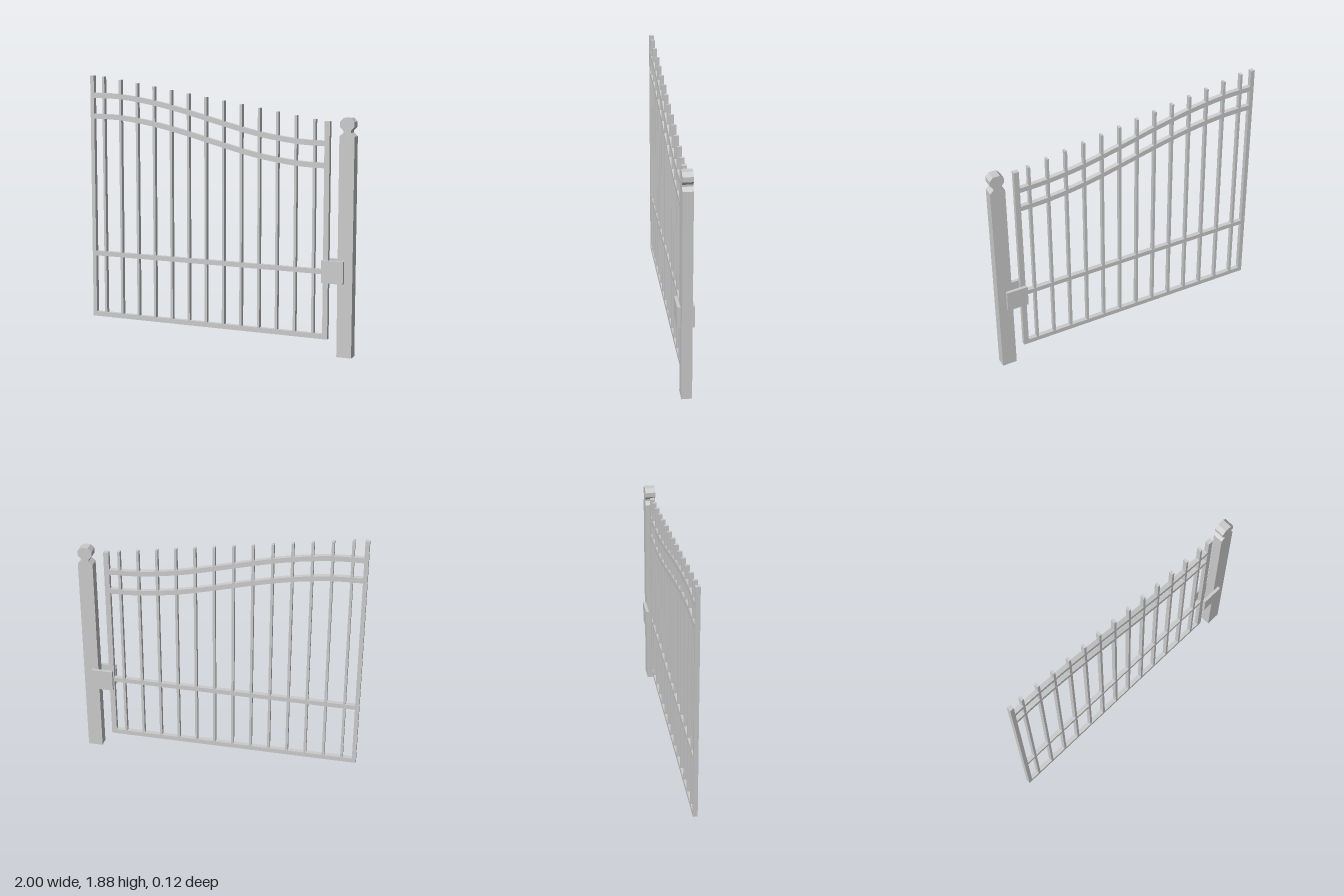
import * as THREE from 'three';

const material = new THREE.MeshStandardMaterial({ color: 0xcccccc, flatShading: true });

// Box given by its x, y and z limits
function bar(name, x0, x1, y0, y1, z0, z1) {
  const mesh = new THREE.Mesh(new THREE.BoxGeometry(x1 - x0, y1 - y0, z1 - z0), material);
  mesh.position.set((x0 + x1) / 2, (y0 + y1) / 2, (z0 + z1) / 2);
  mesh.name = name;
  return mesh;
}

// Outline in x and y, extruded evenly about z = 0
function slab(name, points, depth) {
  const shape = new THREE.Shape(points.map(([x, y]) => new THREE.Vector2(x, y)));
  const geometry = new THREE.ExtrudeGeometry(shape, { depth, bevelEnabled: false });
  geometry.translate(0, 0, -depth / 2);
  const mesh = new THREE.Mesh(geometry, material);
  mesh.name = name;
  return mesh;
}

export function createModel() {
  const model = new THREE.Group();
  model.name = 'gate';
  const half = 0.016;

  // Gate frame
  model.add(
    bar('tallStile', -1, -0.971, 0.11, 1.88, -half, half),
    bar('shortStile', 0.783, 0.82, 0.11, 1.61, -half, half),
    bar('bottomRail', -0.971, 0.783, 0.11, 0.144, -half, half),
    bar('middleRail', -0.971, 0.783, 0.565, 0.598, -half, half)
  );

  // Pickets, their tops falling in a straight line
  const pickets = new THREE.Group();
  pickets.name = 'pickets';
  for (let i = 0; i < 13; i++) {
    const x = -0.895 + i * 0.1338;
    const top = 1.874 - i * 0.021;
    pickets.add(bar('picket', x - 0.009, x + 0.009, 0.144, top, -0.0155, 0.0155));
  }
  model.add(pickets);

  // Two parallel S-curved rails
  const sweep = new THREE.SplineCurve([
    [-0.971, 1.738], [-0.757, 1.732], [-0.494, 1.696], [-0.227, 1.637], [0.04, 1.568],
    [0.307, 1.506], [0.577, 1.468], [0.783, 1.46]
  ].map(([x, y]) => new THREE.Vector2(x, y))).getPoints(21);
  for (const [name, drop] of [['upperCurvedRail', 0], ['lowerCurvedRail', 0.15]]) {
    const under = sweep.map((p) => [p.x, p.y - drop - 0.018]);
    const over = sweep.map((p) => [p.x, p.y - drop + 0.018]).reverse();
    model.add(slab(name, [...under, ...over], half * 2));
  }

  // Post with a necked, eight-sided cap, mirrored about its centre line
  const side = [
    [0.053, 0], [0.053, 1.515], [0.026, 1.538], [0.026, 1.552],
    [0.05, 1.578], [0.05, 1.612], [0.025, 1.638]
  ];
  const right = side.map(([x, y]) => [0.947 + x, y]);
  const left = side.map(([x, y]) => [0.947 - x, y]).reverse();
  model.add(slab('post', [...right, ...left], 0.072));

  // Latch plates on both faces of the post
  model.add(
    bar('frontLatchPlate', 0.785, 0.94, 0.512, 0.668, 0.036, 0.058),
    bar('backLatchPlate', 0.785, 0.94, 0.512, 0.668, -0.058, -0.036)
  );

  return model;
}
